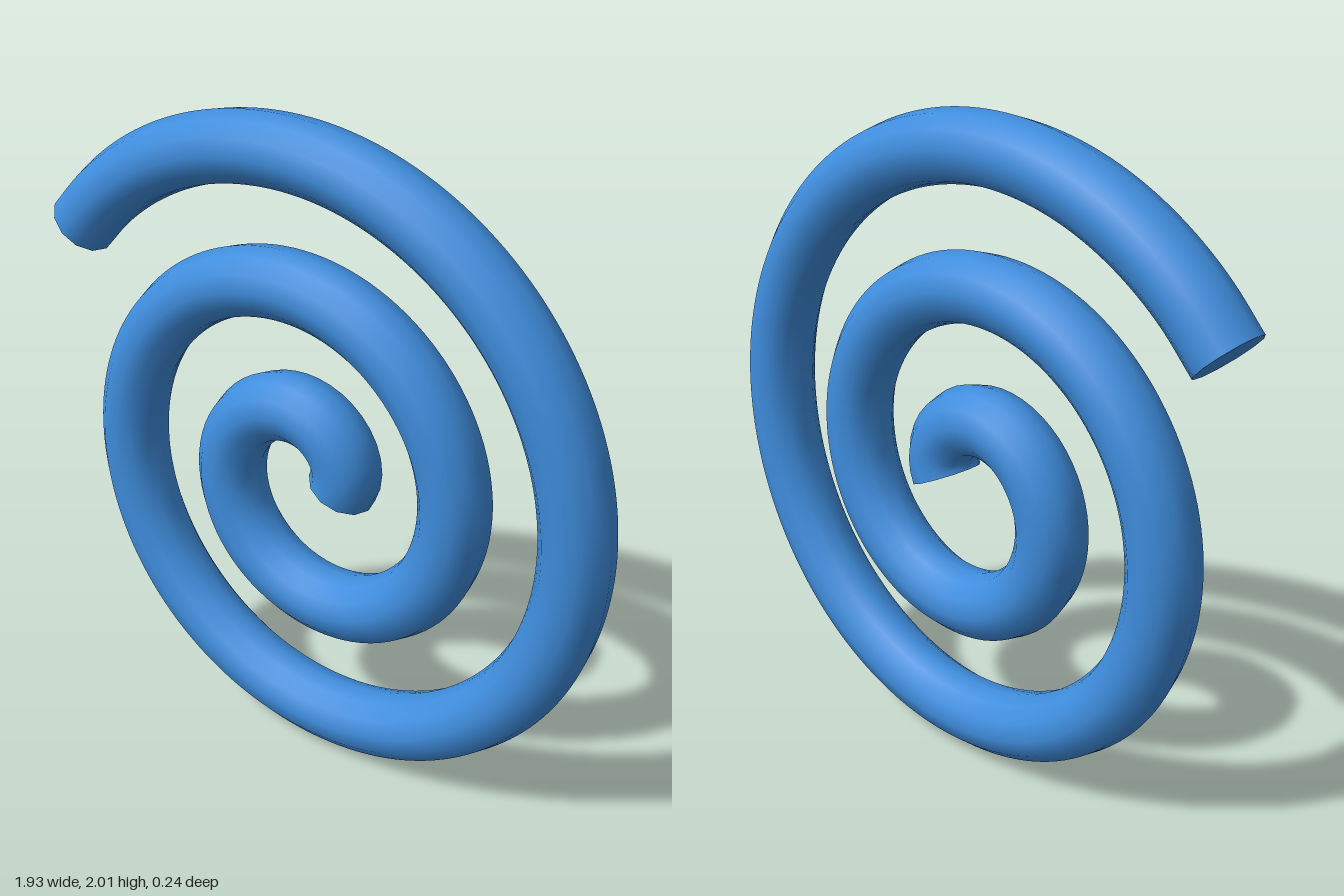
import * as THREE from 'three';

const TUBE_RADIUS = 0.1055;
const SIDES = 12;

export function createModel() {
  const model = new THREE.Group();
  model.name = 'spiral';
  const blue = new THREE.MeshStandardMaterial({ color: 0x3f8ddd });
  blue.name = 'blue';

  // Archimedean spiral of 2.4 turns, rising slightly towards the front
  const steps = 100;
  const points = [];
  for (let i = 0; i <= steps; i++) {
    const t = i / steps;
    const angle = t * 4.8 * Math.PI;
    const r = 0.105 + 0.0629 * angle;
    points.push(new THREE.Vector3(
      -0.039 + r * Math.cos(angle),
      0.901 + r * Math.sin(angle),
      -0.016 + 0.032 * t
    ));
  }
  const path = new THREE.CatmullRomCurve3(points);
  path.arcLengthDivisions = 800;

  const coil = new THREE.Mesh(new THREE.TubeGeometry(path, 300, TUBE_RADIUS, SIDES), blue);
  coil.name = 'spiralCoil';
  model.add(coil);

  // Flat caps closing both ends, facing away from the tube
  for (const [name, t, sign] of [['innerEndCap', 0, -1], ['outerEndCap', 1, 1]]) {
    const cap = new THREE.Mesh(new THREE.CircleGeometry(TUBE_RADIUS, SIDES), blue);
    cap.name = name;
    cap.position.copy(path.getPointAt(t));
    cap.lookAt(cap.position.clone().addScaledVector(path.getTangentAt(t), sign));
    model.add(cap);
  }
  return model;
}
